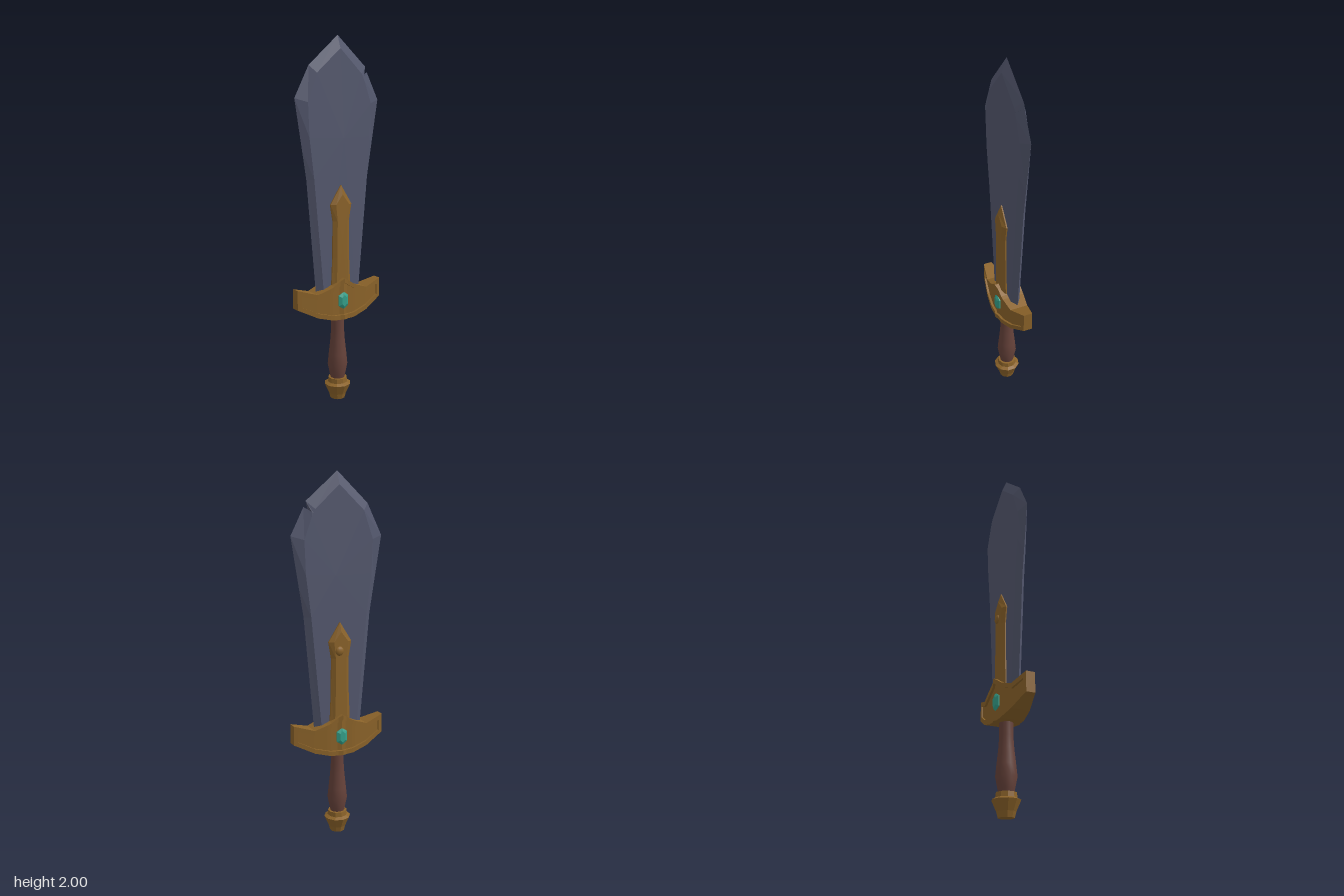
import * as THREE from 'three';

const mat = (name, color) => {
  const m = new THREE.MeshStandardMaterial({ color });
  m.name = name;
  return m;
};

// Faceted skin over matching rings (counter-clockwise seen from the last ring), capped at both ends
function loft(rings) {
  const pos = [];
  const tri = (...pts) => pts.forEach((p) => pos.push(p[0], p[1], p[2]));
  const n = rings[0].length;
  for (let i = 0; i < rings.length - 1; i++) {
    for (let k = 0; k < n; k++) {
      const j = (k + 1) % n;
      const a = rings[i][k], b = rings[i][j], c = rings[i + 1][j], d = rings[i + 1][k];
      tri(a, b, c);
      tri(a, c, d);
    }
  }
  const first = rings[0], last = rings[rings.length - 1];
  const mid = (r) => [0, 1, 2].map((q) => r.reduce((s, p) => s + p[q], 0) / n);
  for (let k = 0; k < n; k++) {
    const j = (k + 1) % n;
    tri(mid(first), first[j], first[k]);
    tri(mid(last), last[k], last[j]);
  }
  const g = new THREE.BufferGeometry();
  g.setAttribute('position', new THREE.Float32BufferAttribute(pos, 3));
  g.computeVertexNormals();
  return g;
}

// Places a flat outline at depth z
const at = (outline, z) => outline.map(([x, y]) => [x, y, z]);

export function createModel() {
  const steel = mat('blue steel', 0x53576d);
  const gold = mat('old gold', 0x8a6229);
  const wood = mat('brown grip', 0x66423a);
  const jade = mat('green gem', 0x35a08a);

  const group = new THREE.Group();
  const add = (name, geometry, material) => {
    const m = new THREE.Mesh(geometry, material);
    m.name = name;
    group.add(m);
    return m;
  };

  // Blade: sharp outer edge [x, y, half depth] and flat inner face, with a notch near the tip
  const edge = [
    [-0.14, 0.6, 0], [0.14, 0.6, 0], [0.198, 1.25, 0], [0.222, 1.4, 0], [0.266, 1.67, 0],
    [0.192, 1.815, 0], [0.155, 1.79, 0.024], [0.18, 1.845, 0], [0, 2, 0],
    [-0.18, 1.838, 0], [-0.266, 1.67, 0], [-0.222, 1.4, 0], [-0.198, 1.25, 0],
  ];
  const face = [
    [-0.105, 0.6], [0.105, 0.6], [0.165, 1.25], [0.193, 1.47], [0.2, 1.65],
    [0.158, 1.765], [0.148, 1.785], [0.138, 1.805], [0, 1.93],
    [-0.145, 1.8], [-0.2, 1.65], [-0.193, 1.47], [-0.165, 1.25],
  ];
  add('blade', loft([
    at(face, -0.027),
    edge.map(([x, y, z]) => [x, y, -z]),
    edge,
    at(face, 0.027),
  ]), steel);

  // Gold spine plate running up both sides of the blade
  const spine = [
    [-0.064, 0.6], [0.064, 0.6], [0.054, 0.82], [0.052, 1.02], [0.068, 1.11],
    [0, 1.215], [-0.068, 1.11], [-0.052, 1.02], [-0.054, 0.82],
  ];
  const ridge = spine.map(([x, y]) => [x * 0.62, y > 1.2 ? 1.165 : y]);
  add('spinePlate', loft([
    at(ridge, -0.05), at(spine, -0.034), at(spine, 0.034), at(ridge, 0.05),
  ]), gold);

  // Small rivet on the back of the spine plate
  const rivet = add('rivet', new THREE.SphereGeometry(0.026, 10, 8), gold);
  rivet.scale.z = 0.55;
  rivet.position.set(0.01, 1.06, -0.048);

  // Guard: stations [x, top, bottom, half depth, recess depth]
  const half = [
    [0, 0.707, 0.475, 0.075, 0.013], [0.025, 0.692, 0.475, 0.067, 0.013],
    [0.065, 0.667, 0.477, 0.066, 0.013], [0.085, 0.658, 0.482, 0.064, 0.013],
    [0.16, 0.632, 0.502, 0.052, 0.013], [0.248, 0.658, 0.546, 0.031, 0.01],
    [0.248, 0.658, 0.546, 0.031, 0], [0.272, 0.665, 0.557, 0.025, 0],
  ];
  const stations = [
    ...half.slice(1).reverse().map(([x, ...rest]) => [-x, ...rest]),
    ...half,
  ];
  const rim = 0.026;
  add('guard', loft(stations.map(([x, top, bottom, h, d]) => {
    const side = [
      [top, h], [top - rim, h], [top - rim, h - d],
      [bottom + rim, h - d], [bottom + rim, h], [bottom, h],
    ];
    const back = side.map(([y, z]) => [y, -z]).reverse();
    return [...side, ...back].map(([y, z]) => [x, y, z]);
  })), gold);

  // Faceted gem on each side of the guard
  const gem = [
    [0, -0.05], [0.03, -0.028], [0.03, 0.028], [0, 0.05], [-0.03, 0.028], [-0.03, -0.028],
  ];
  const gemGeo = loft([
    at(gem, 0.045), at(gem, 0.06), at(gem.map(([x, y]) => [x * 0.5, y * 0.65]), 0.071),
  ]);
  ['frontGem', 'backGem'].forEach((name, i) => {
    const g = add(name, gemGeo, jade);
    g.position.y = 0.58;
    g.rotation.y = i * Math.PI;
  });

  // Turned grip
  const v = ([r, y]) => new THREE.Vector2(r, y);
  const grip = [
    [0.036, 0.1], [0.044, 0.14], [0.056, 0.2], [0.05, 0.26], [0.041, 0.34], [0.036, 0.41], [0.037, 0.5],
  ];
  add('grip', new THREE.LatheGeometry(grip.map(v), 12), wood);

  // Faceted pommel with collar
  const pommel = [
    [0, 0], [0.042, 0], [0.05, 0.03], [0.075, 0.086], [0.056, 0.096], [0.053, 0.122], [0, 0.125],
  ];
  const pommelGeo = new THREE.LatheGeometry(pommel.map(v), 10).toNonIndexed();
  pommelGeo.computeVertexNormals();
  add('pommel', pommelGeo, gold);

  return group;
}
